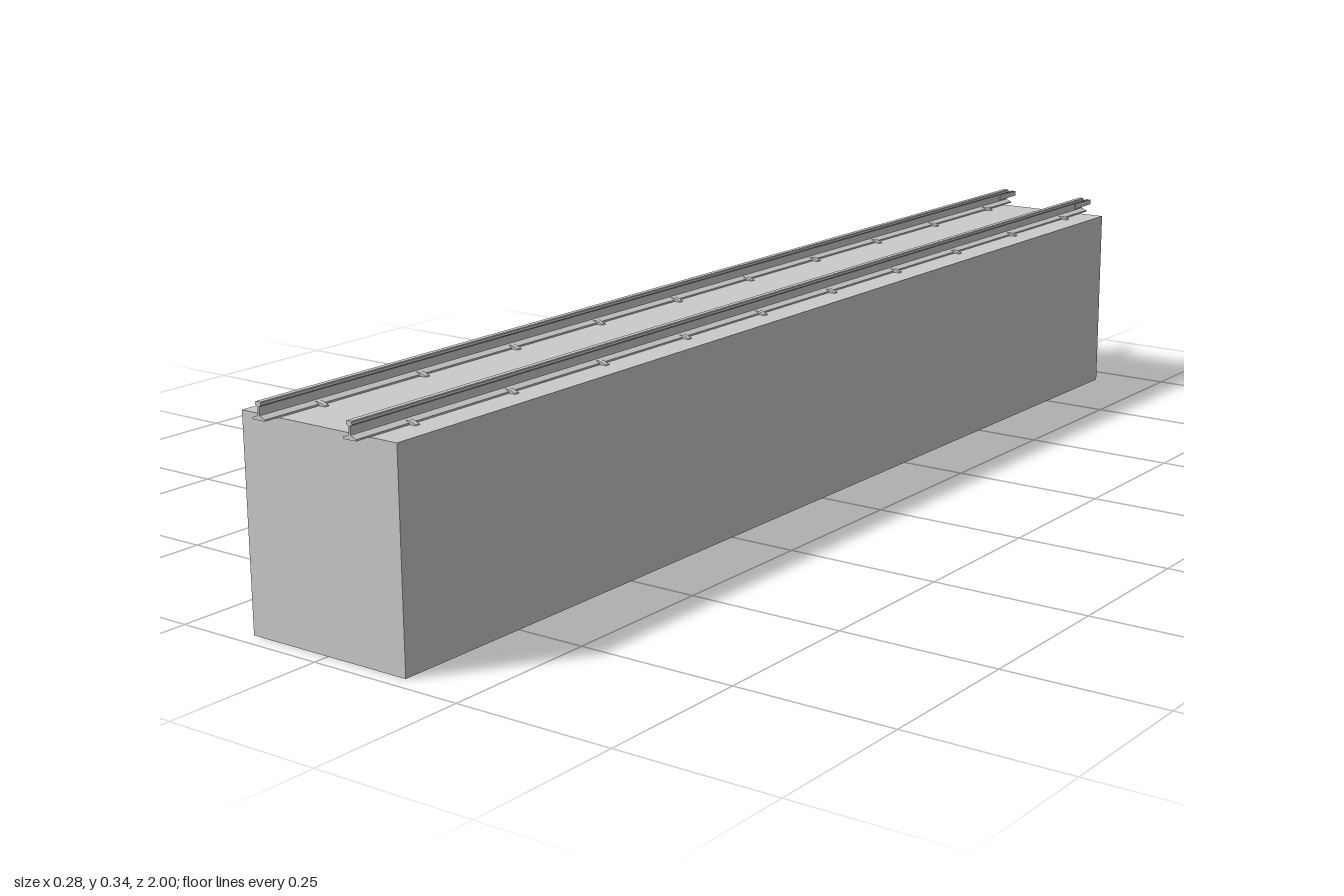
import * as THREE from 'three';

const mat = new THREE.MeshStandardMaterial({ color: 0xcccccc, flatShading: true, side: THREE.DoubleSide });
const W = 0.28, H = 0.318, Z0 = -0.945, Z1 = 0.975;

function add(parent, name, geometry, x = 0, y = 0, z = 0) {
  const mesh = new THREE.Mesh(geometry, mat);
  mesh.name = name;
  mesh.position.set(x, y, z);
  parent.add(mesh);
  return mesh;
}

// Extrudes a half outline (x >= 0, bottom to top), mirrored, along z
function symmetricBar(half, length) {
  const mirrored = half.map(([x, y]) => [-x, y]).reverse();
  const shape = new THREE.Shape([...half, ...mirrored].map(([x, y]) => new THREE.Vector2(x, y)));
  return new THREE.ExtrudeGeometry(shape, { depth: length, bevelEnabled: false });
}

export function createModel() {
  const model = new THREE.Group();
  model.name = 'trackOnBlock';

  // Supporting block: thin shell without an underside
  const shell = new THREE.BoxGeometry(W, H, Z1 - Z0);
  const index = Array.from(shell.index.array);
  index.splice(18, 6); // bottom face
  shell.setIndex(index);
  shell.clearGroups();
  add(model, 'block', shell, 0, H / 2, (Z0 + Z1) / 2);

  // Flat-bottomed rail: foot, web and head
  const railGeo = symmetricBar([
    [0.0115, 0], [0.0115, 0.0025], [0.002, 0.0065], [0.0015, 0.0085],
    [0.0015, 0.0185], [0.005, 0.0205], [0.005, 0.0245], [0.004, 0.0255],
  ], 1.97);
  // Low wedge clip gripping both edges of the foot
  const clipGeo = symmetricBar([[0.0225, 0], [0.0215, 0.0015], [0.011, 0.0055], [0.006, 0.0055]], 0.008);
  const plateGeo = new THREE.BoxGeometry(0.0025, 0.009, 0.06);

  for (const side of [-1, 1]) {
    const track = new THREE.Group();
    track.name = side > 0 ? 'leftRail' : 'rightRail';
    track.position.set(side * 0.082, H, 0);
    model.add(track);

    add(track, 'rail', railGeo, 0, 0, -0.97);
    for (let i = 0; i < 10; i++) add(track, 'railClip', clipGeo, 0, 0, -0.879 + i * 0.197);
    // Joining plates that reach past the rear end of the rail
    for (const s of [-1, 1]) add(track, 'joiningPlate', plateGeo, s * 0.00275, 0.0135, -0.97);
  }
  return model;
}
